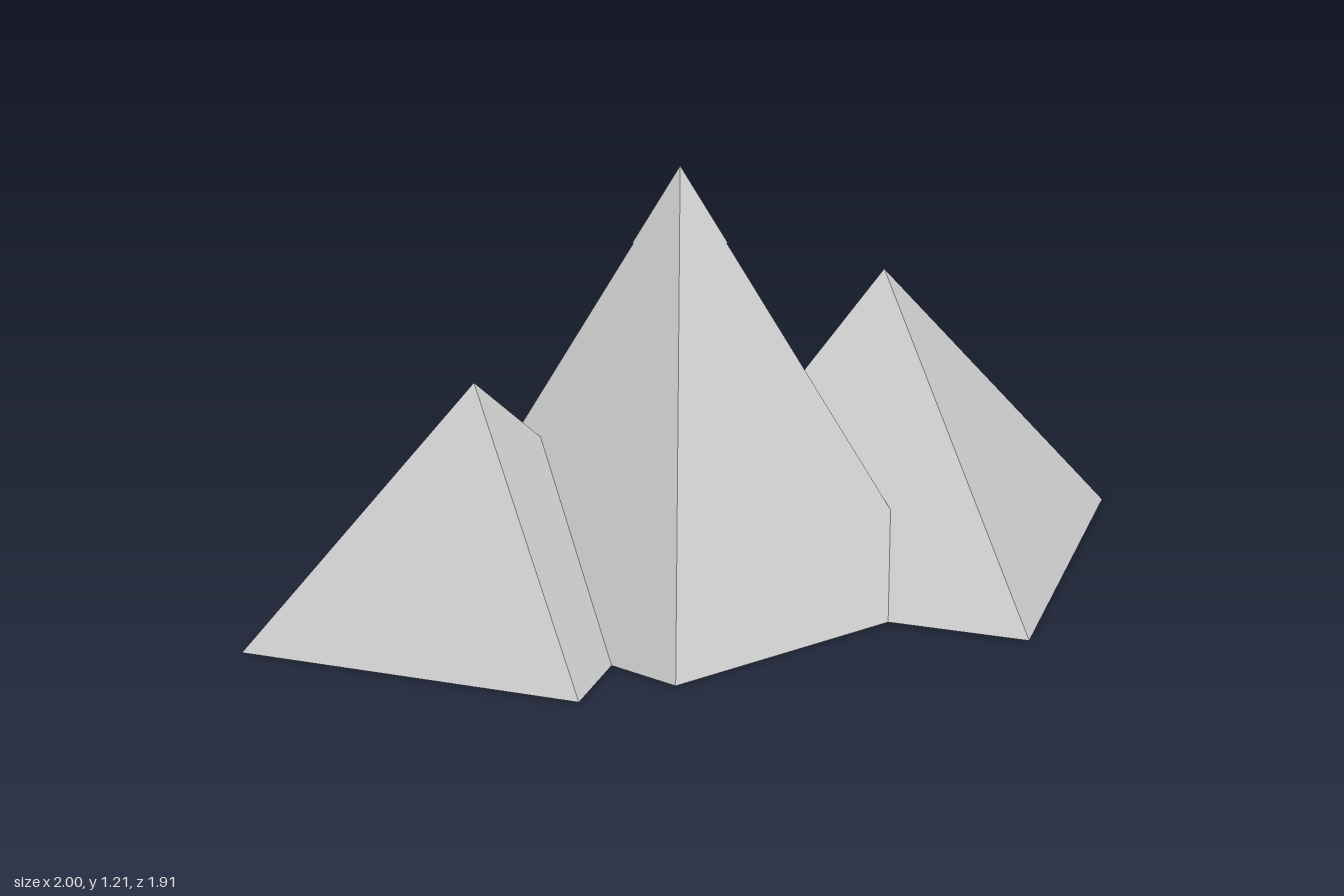
import * as THREE from 'three';

export function createModel() {
  const group = new THREE.Group();
  group.name = 'mountains';

  const rock = new THREE.MeshStandardMaterial({ color: 0xc8c8c8 });
  rock.name = 'rock grey';

  // Faceted pyramid standing on y, with crisp face normals
  function addPeak(name, radius, height, sides, turn, x, y, z) {
    const geo = new THREE.ConeGeometry(radius, height, sides, 1, false, turn)
      .translate(0, height / 2, 0)
      .toNonIndexed();
    geo.computeVertexNormals();
    const mesh = new THREE.Mesh(geo, rock);
    mesh.name = name;
    mesh.position.set(x, y, z);
    group.add(mesh);
  }

  // Main five-sided peak with a thin cap that overhangs it slightly
  const turn = Math.PI / 10;
  addPeak('mainPeak', 0.8, 1.205, 5, turn, -0.067, 0, 0.02);
  addPeak('summitCap', 0.14, 0.21, 5, turn, -0.067, 1, 0.02);

  // Square side peaks, sized by half their base width
  const addSidePeak = (name, half, height, x, z) =>
    addPeak(name, half * Math.SQRT2, height, 4, Math.PI / 4, x, 0, z);
  addSidePeak('backLeftPeak', 0.578, 0.853, 0.422, -0.379);
  addSidePeak('frontRightPeak', 0.488, 0.667, -0.512, 0.466);

  return group;
}
